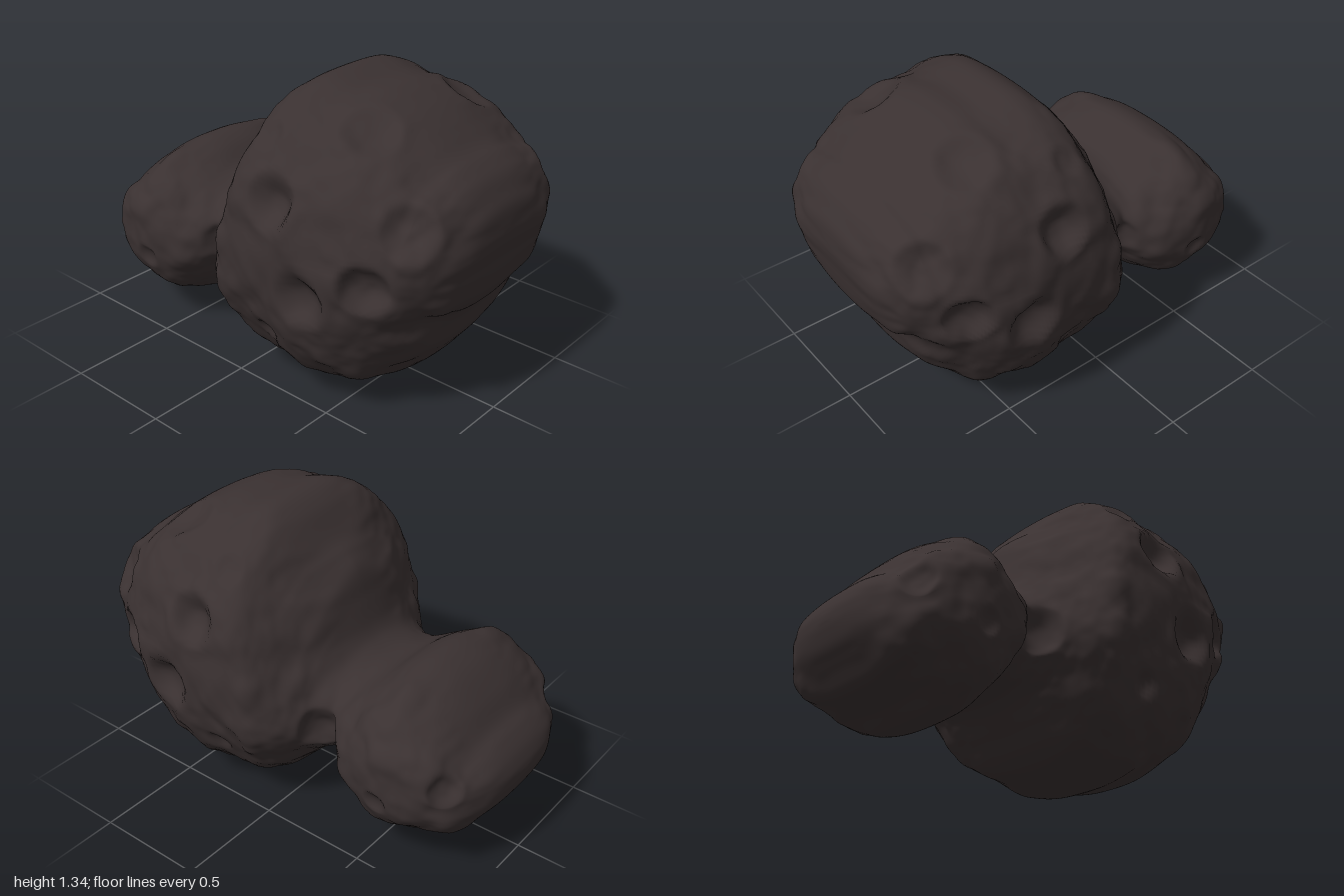
import * as THREE from 'three';
import { mergeVertices } from 'three/addons/utils/BufferGeometryUtils.js';

// Cross-sections from front to back: z, top, bottom, half width
const SECTIONS = [
  [1.0, 0.87, 0.83, 0.02], [0.99, 0.94, 0.76, 0.2], [0.965, 0.99, 0.6, 0.33], [0.92, 1.055, 0.51, 0.43],
  [0.86, 1.1, 0.44, 0.485], [0.8, 1.13, 0.28, 0.52], [0.7, 1.21, 0.15, 0.575], [0.6, 1.27, 0.075, 0.615],
  [0.48, 1.315, 0.045, 0.628], [0.36, 1.32, 0.006, 0.63], [0.22, 1.347, 0.03, 0.63], [0.11, 1.295, 0.06, 0.63],
  [0.02, 1.18, 0.11, 0.62], [-0.05, 1.125, 0.18, 0.575], [-0.11, 1.06, 0.235, 0.51], [-0.15, 0.93, 0.265, 0.455],
  [-0.2, 0.8, 0.29, 0.405], [-0.26, 0.75, 0.3, 0.365], [-0.33, 0.735, 0.27, 0.415], [-0.4, 0.75, 0.17, 0.47],
  [-0.49, 0.825, 0.105, 0.51], [-0.59, 0.85, 0.088, 0.53], [-0.7, 0.8, 0.13, 0.515], [-0.79, 0.715, 0.155, 0.485],
  [-0.86, 0.625, 0.18, 0.435], [-0.92, 0.58, 0.26, 0.355], [-0.965, 0.53, 0.32, 0.255], [-0.99, 0.48, 0.38, 0.15],
  [-1.0, 0.44, 0.42, 0.02],
];

// Craters, mirrored on both sides: x, y, z, radius, depth
const CRATERS = [
  [0.66, 0.97, 0.31, 0.12, 0.065], [0.66, 0.57, 0.46, 0.125, 0.06], [0.57, 0.7, 0.73, 0.11, 0.06],
  [0.42, 0.93, 0.84, 0.12, 0.05], [0.32, 1.22, 0.56, 0.13, 0.035], [0.4, 0.5, -0.23, 0.11, 0.045],
  [0.42, 0.5, -0.88, 0.08, 0.03], [0.62, 0.29, 0.22, 0.06, 0.02], [0.53, 0.36, -0.59, 0.06, 0.02],
  [0.5, 1.2, 0.18, 0.07, 0.02],
];

function hash(x, y, z) {
  let h = Math.imul(x, 374761393) ^ Math.imul(y, 668265263) ^ Math.imul(z, 1274126177);
  h = Math.imul(h ^ (h >>> 13), 1103515245);
  return ((h ^ (h >>> 16)) >>> 0) / 4294967295 * 2 - 1;
}

// Smooth value noise, -1 to 1
function noise(x, y, z) {
  const X = Math.floor(x), Y = Math.floor(y), Z = Math.floor(z);
  const fade = (t) => t * t * t * (t * (t * 6 - 15) + 10);
  const u = fade(x - X), v = fade(y - Y), w = fade(z - Z);
  const mix = THREE.MathUtils.lerp;
  const row = (j, k) => mix(hash(X, Y + j, Z + k), hash(X + 1, Y + j, Z + k), u);
  return mix(mix(row(0, 0), row(1, 0), v), mix(row(0, 1), row(1, 1), v), w);
}

const bump = (z, centre, width) => Math.exp(-(((z - centre) / width) ** 2));

// Section shape: a narrow ridge behind the shoulder and under the chin, fuller elsewhere
function sectionShape(z) {
  const shoulder = bump(z, -0.1, 0.1), chin = bump(z, 0.78, 0.15);
  return {
    lift: 0.04 * chin - 0.12 * shoulder,
    upper: 2.45 - 0.85 * shoulder,
    lower: 2.4 - 0.3 * shoulder - 0.35 * chin,
  };
}

// Smooth two-lobed body lofted through the sections
function loftBody(rings, segments) {
  const heights = new THREE.CatmullRomCurve3(
    SECTIONS.map(([z, top, bottom]) => new THREE.Vector3(z, top, bottom)), false, 'catmullrom');
  const widths = new THREE.CatmullRomCurve3(
    SECTIONS.map(([z, , , w]) => new THREE.Vector3(z, w, 0)), false, 'catmullrom');
  const positions = [], index = [];
  for (let i = 0; i <= rings; i++) {
    const { x: z, y: top, z: bottom } = heights.getPoint(i / rings);
    const { lift, upper, lower } = sectionShape(z);
    const open = i === 0 || i === rings ? 0 : 1;
    const rx = widths.getPoint(i / rings).y * open, centre = (top + bottom) / 2 + lift;
    for (let j = 0; j < segments; j++) {
      const a = j / segments * Math.PI * 2, above = Math.sin(a) > 0;
      const power = 2 / (above ? upper : lower), ry = (above ? top - centre : centre - bottom) * open;
      const squash = (c) => Math.sign(c) * Math.abs(c) ** power;
      positions.push(rx * squash(Math.cos(a)), centre + ry * squash(Math.sin(a)), z);
      if (i === rings) continue;
      const k = (j + 1) % segments, p = i * segments, q = p + segments;
      if (i > 0) index.push(p + j, q + j, p + k);
      if (i < rings - 1) index.push(q + j, q + k, p + k);
    }
  }
  const geometry = new THREE.BufferGeometry();
  geometry.setAttribute('position', new THREE.Float32BufferAttribute(positions, 3));
  geometry.setIndex(index);
  return mergeVertices(geometry, 1e-5);
}

// Push vertices along their normals by a rule
function displace(geometry, rule) {
  geometry.computeVertexNormals();
  const pos = geometry.attributes.position, nor = geometry.attributes.normal;
  const p = new THREE.Vector3(), n = new THREE.Vector3();
  for (let i = 0; i < pos.count; i++) {
    p.fromBufferAttribute(pos, i);
    n.fromBufferAttribute(nor, i);
    p.addScaledVector(n, rule(p));
    pos.setXYZ(i, p.x, p.y, p.z);
  }
}

function nearestPoint(geometry, target) {
  const pos = geometry.attributes.position, p = new THREE.Vector3(), best = new THREE.Vector3();
  let bestDistance = Infinity;
  for (let i = 0; i < pos.count; i++) {
    const d = p.fromBufferAttribute(pos, i).distanceToSquared(target);
    if (d < bestDistance) { bestDistance = d; best.copy(p); }
  }
  return best;
}

export function createModel() {
  const rock = new THREE.MeshStandardMaterial({ color: 0x3a3131 });
  rock.name = 'dark rock';
  const geometry = loftBody(240, 180);

  // Craters with a soft rim
  const craters = CRATERS.map(([x, y, z, radius, depth]) => ({
    centre: nearestPoint(geometry, new THREE.Vector3(x, y, z)), radius, depth,
  }));
  const q = new THREE.Vector3();
  displace(geometry, (p) => {
    q.set(Math.abs(p.x), p.y, p.z);
    let offset = 0;
    for (const { centre, radius, depth } of craters) {
      const d = q.distanceTo(centre) / radius;
      if (d < 1) offset -= depth * (1 - d ** 3) ** 2;
      offset += depth * 0.1 * bump(d, 1.05, 0.25);
    }
    return offset;
  });

  // Mirrored surface roughness, calmer and stretched sideways near the middle
  displace(geometry, (p) => {
    const s = p.x * p.x * 1.1;
    const strength = 0.2 + 0.8 * THREE.MathUtils.smoothstep(Math.abs(p.x), 0.03, 0.35);
    return strength * (0.009 * noise(s * 5 + 3, p.y * 5, p.z * 5)
      + 0.012 * noise(s * 10 + 7, p.y * 10, p.z * 10)
      + 0.004 * noise(s * 22, p.y * 22, p.z * 22));
  });

  // Stand on the ground
  geometry.computeBoundingBox();
  geometry.translate(0, -geometry.boundingBox.min.y, 0);
  geometry.computeVertexNormals();

  const body = new THREE.Mesh(geometry, rock);
  body.name = 'twoLobedRock';
  const group = new THREE.Group();
  group.name = 'comet';
  group.add(body);
  return group;
}
